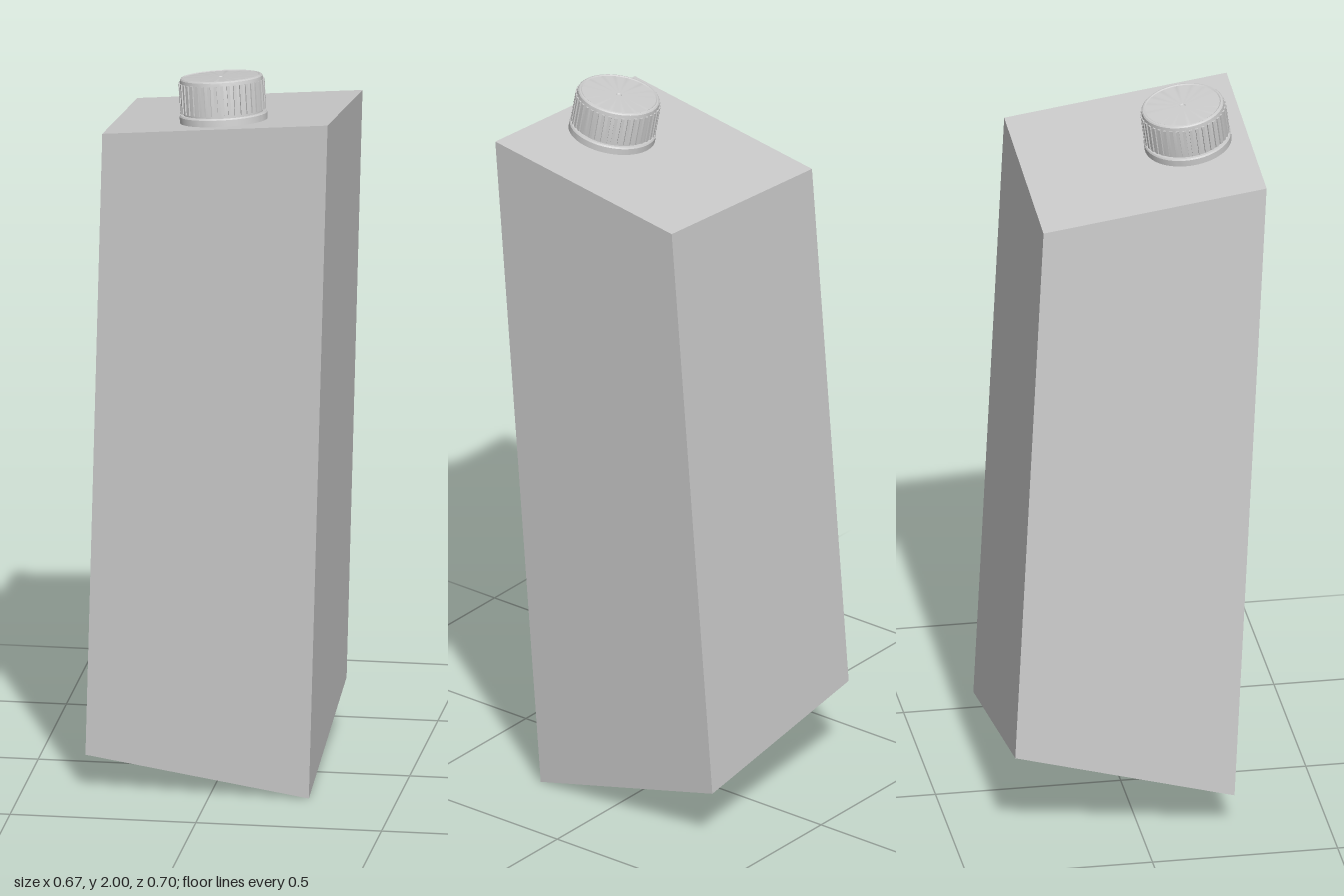
import * as THREE from 'three';
import { toCreasedNormals } from 'three/addons/utils/BufferGeometryUtils.js';

const V = (x, y, z) => new THREE.Vector3(x, y, z);

// Corners of the leaning carton, keyed by the signs of x, y and z
const corners = {
  '-++': V(-0.275, 1.86, 0.347), '+++': V(0.331, 1.91, 0.343),
  '-+-': V(-0.272, 1.775, -0.255), '++-': V(0.334, 1.825, -0.257),
  '--+': V(-0.335, 0.097, 0.25), '+-+': V(0.265, 0, 0.241),
  '---': V(-0.322, 0.25, -0.34), '+--': V(0.277, 0.157, -0.35),
};

function cartonGeometry() {
  const geo = new THREE.BoxGeometry(2, 2, 2);
  const pos = geo.attributes.position;
  const sign = (v) => (v > 0 ? '+' : '-');
  for (let i = 0; i < pos.count; i++) {
    const c = corners[sign(pos.getX(i)) + sign(pos.getY(i)) + sign(pos.getZ(i))];
    pos.setXYZ(i, c.x, c.y, c.z);
  }
  geo.computeVertexNormals();
  return geo;
}

function lathe(points) {
  const profile = points.map(([r, y]) => new THREE.Vector2(r, y));
  return toCreasedNormals(new THREE.LatheGeometry(profile, 72), 0.5);
}

export function createModel() {
  const model = new THREE.Group();
  const grey = new THREE.MeshStandardMaterial({ color: 0xcccccc });
  grey.name = 'light grey';
  const add = (parent, name, geo) => {
    const mesh = new THREE.Mesh(geo, grey);
    mesh.name = name;
    parent.add(mesh);
    return mesh;
  };

  add(model, 'carton', cartonGeometry());

  // Screw cap standing square on the sloping top
  const cap = new THREE.Group();
  cap.name = 'screwCap';
  cap.position.set(0.028, 1.862, 0.187);
  const normal = V(-0.083, 1, -0.142).normalize();
  cap.quaternion.setFromUnitVectors(V(0, 1, 0), normal);
  model.add(cap);

  // Tamper ring at the foot
  add(cap, 'tamperRing', lathe([
    [0.117, -0.004], [0.117, 0.018], [0.114, 0.022], [0.1, 0.022],
  ]));

  // Cap body with a rounded rim, shallow recessed top and centre dimple
  add(cap, 'capBody', lathe([
    [0.106, 0.018], [0.106, 0.026], [0.111, 0.026], [0.111, 0.112],
    [0.11, 0.117], [0.107, 0.12], [0.103, 0.121], [0.1, 0.119],
    [0.008, 0.119], [0.006, 0.116], [0, 0.115],
  ]));

  // Grip ribs around the side
  const ribs = new THREE.Group();
  ribs.name = 'gripRibs';
  cap.add(ribs);
  const ribGeo = new THREE.BoxGeometry(0.008, 0.08, 0.008);
  const count = 40;
  for (let i = 0; i < count; i++) {
    const a = (i / count) * Math.PI * 2;
    const rib = add(ribs, 'gripRib', ribGeo);
    rib.position.set(Math.sin(a) * 0.111, 0.068, Math.cos(a) * 0.111);
    rib.rotation.y = a;
  }
  return model;
}
